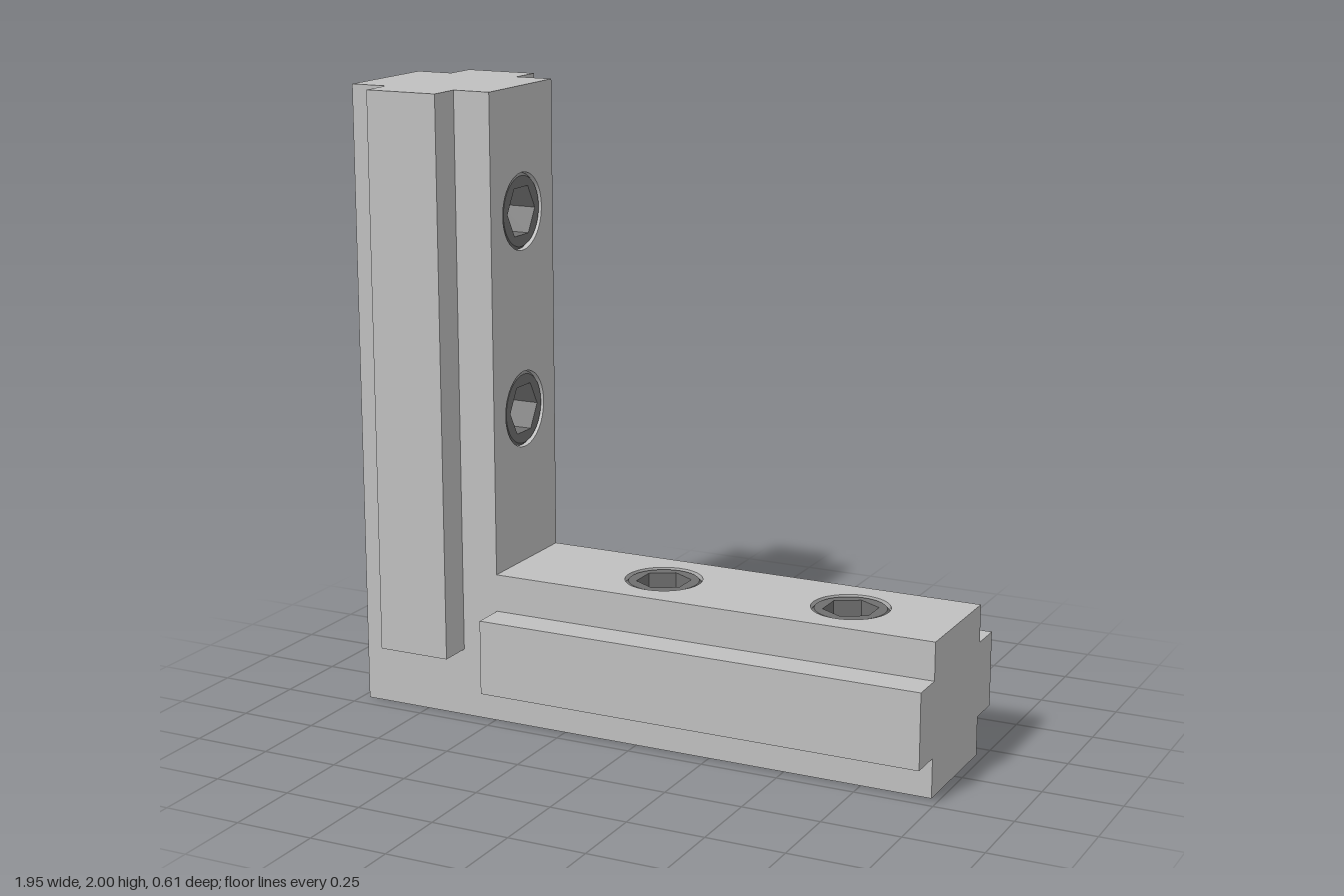
import * as THREE from 'three';
import { toCreasedNormals } from 'three/addons/utils/BufferGeometryUtils.js';

const HOLE_R = 0.122, ARM = 0.485, HALF_Z = 0.195, RIB_Z = 0.305;
const LEFT = -0.975, INNER = LEFT + ARM, RIGHT = 0.975;

const body = new THREE.MeshStandardMaterial({ name: 'bracketGrey', color: 0xbfbfbf });
const dark = new THREE.MeshStandardMaterial({ name: 'screwGrey', color: 0x707070 });

function mesh(name, geometry, material) {
  const m = new THREE.Mesh(geometry, material);
  m.name = name;
  return m;
}

// Rectangular slab pierced by round screw holes, extruded by the arm thickness
function armGeometry(x0, y0, x1, y1, holes) {
  const s = new THREE.Shape([
    new THREE.Vector2(x0, y0), new THREE.Vector2(x1, y0),
    new THREE.Vector2(x1, y1), new THREE.Vector2(x0, y1),
  ]);
  for (const [x, y] of holes) s.holes.push(new THREE.Path().absarc(x, y, HOLE_R, 0, Math.PI * 2, true));
  const g = new THREE.ExtrudeGeometry(s, { depth: ARM, bevelEnabled: false, curveSegments: 32 });
  return toCreasedNormals(g, 0.5);
}

function box(name, x0, x1, y0, y1, z0, z1) {
  const m = mesh(name, new THREE.BoxGeometry(x1 - x0, y1 - y0, z1 - z0), body);
  m.position.set((x0 + x1) / 2, (y0 + y1) / 2, (z0 + z1) / 2);
  return m;
}

// Grub screw along +y with a chamfered rim, a hex socket and a conical socket floor
function makeScrew() {
  const g = new THREE.Group();
  g.name = 'grubScrew';
  const bottom = 0.02, top = ARM - 0.004, hexR = 0.086, depth = 0.12, cone = 0.04;
  const profile = [[0, bottom], [0.12, bottom], [0.12, top - 0.01], [0.111, top]]
    .map(([r, y]) => new THREE.Vector2(r, y));
  g.add(mesh('screwShank', toCreasedNormals(new THREE.LatheGeometry(profile, 48), 0.5), dark));

  // Flat ring around the socket
  const ring = new THREE.Shape().absarc(0, 0, 0.111, 0, Math.PI * 2);
  const hex = [];
  for (let i = 0; i < 6; i++) {
    const a = -i * Math.PI / 3;
    hex.push(new THREE.Vector2(hexR * Math.sin(a), hexR * Math.cos(a)));
  }
  ring.holes.push(new THREE.Path(hex));
  const face = new THREE.ShapeGeometry(ring, 24).rotateX(-Math.PI / 2).translate(0, top, 0);
  g.add(mesh('screwFace', face, dark));

  // Mirroring turns the open cylinders inside out so they show their inner faces
  const inward = (rTop, rBottom, h, y) => {
    const c = new THREE.CylinderGeometry(rTop, rBottom, h, 6, 1, true).scale(-1, 1, 1).toNonIndexed();
    c.computeVertexNormals();
    return c.translate(0, y - h / 2, 0);
  };
  g.add(mesh('socketWall', inward(hexR, hexR, depth, top), dark));
  g.add(mesh('socketFloor', inward(hexR, 0, cone, top - depth), dark));
  return g;
}

export function createModel() {
  const model = new THREE.Group();
  model.name = 'cornerBracket';
  const uprightHoles = [0.98, 1.61], baseHoles = [0, 0.63];

  // The two arms of the L
  const upright = armGeometry(-HALF_Z, 0, HALF_Z, 2, uprightHoles.map(y => [0, y]));
  upright.rotateY(Math.PI / 2).translate(LEFT, 0, 0);
  model.add(mesh('uprightArm', upright, body));
  const base = armGeometry(INNER, -HALF_Z, RIGHT, HALF_Z, baseHoles.map(x => [x, 0]));
  base.rotateX(-Math.PI / 2);
  model.add(mesh('baseArm', base, body));

  // Slot ribs on the front and back
  for (const [side, z0, z1] of [['front', HALF_Z, RIB_Z], ['back', -RIB_Z, -HALF_Z]]) {
    model.add(box(side + 'UprightRib', -0.853, -0.613, 0.22, 2, z0, z1));
    model.add(box(side + 'BaseRib', INNER, RIGHT, 0.125, 0.365, z0, z1));
  }

  // Screws, with their sockets toward the inside of the corner
  for (const y of uprightHoles) {
    const s = makeScrew();
    s.rotation.z = -Math.PI / 2;
    s.position.set(LEFT, y, 0);
    model.add(s);
  }
  for (const x of baseHoles) {
    const s = makeScrew();
    s.position.set(x, 0, 0);
    model.add(s);
  }
  return model;
}
